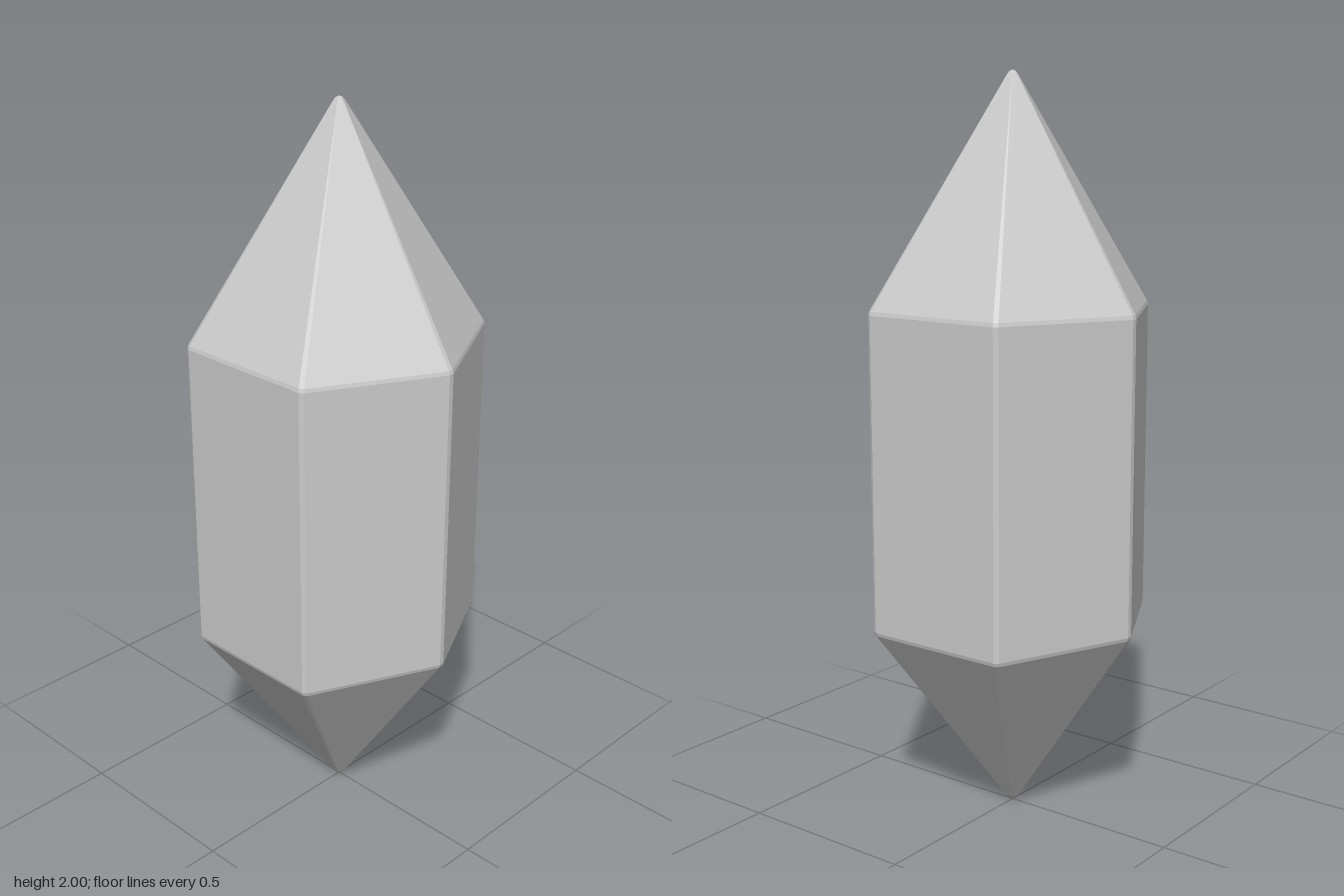
import * as THREE from 'three';

// Hexagonal cross-section corners (x, z), slightly longer along z
const HEX = [[0, 0.386], [0.34, 0.207], [0.34, -0.207], [0, -0.386], [-0.34, -0.207], [-0.34, 0.207]]
  .map(([x, z]) => new THREE.Vector2(x, z));

// Each corner is clipped into two points so the long edges get a fine bevel
const SECTION = HEX.flatMap((p, i) => [
  p.clone().lerp(HEX[(i + 5) % 6], 0.02),
  p.clone().lerp(HEX[(i + 1) % 6], 0.02),
]);

// Faceted shell through rings of [height, scale, lift of the front and back corners]
function facetedShell(name, rings, material) {
  const n = SECTION.length;
  const positions = [];
  const index = [];
  for (const [y, s, lift = 0] of rings) {
    for (const p of SECTION) {
      const t = Math.max(0, (Math.abs(p.y) - 0.207) / 0.179);
      positions.push(p.x * s, y + lift * t, p.y * s);
    }
  }
  for (let r = 0; r < rings.length - 1; r++) {
    for (let i = 0; i < n; i++) {
      const a = r * n + i;
      const b = r * n + (i + 1) % n;
      index.push(a, b, b + n, a, b + n, a + n);
    }
  }
  const indexed = new THREE.BufferGeometry();
  indexed.setAttribute('position', new THREE.Float32BufferAttribute(positions, 3));
  indexed.setIndex(index);
  const geometry = indexed.toNonIndexed();
  geometry.computeVertexNormals();
  const mesh = new THREE.Mesh(geometry, material);
  mesh.name = name;
  return mesh;
}

export function createModel() {
  const material = new THREE.MeshStandardMaterial({
    color: 0xcccccc, flatShading: true, side: THREE.DoubleSide,
  });
  const crystal = new THREE.Group();
  crystal.name = 'crystal';
  crystal.add(
    // Short lower point with a blunted tip
    facetedShell('lowerPoint', [[0, 0], [0.004, 0.025], [0.016, 0.05], [0.53, 0.992, 0.015]], material),
    // Straight shaft with thin bevels where it meets the points
    facetedShell('shaft', [[0.53, 0.992, 0.015], [0.54, 1, 0.015], [1.385, 1], [1.395, 0.992]], material),
    // Taller upper point with a blunted tip
    facetedShell('upperPoint', [[1.395, 0.992], [1.982, 0.05], [1.996, 0.025], [2, 0]], material),
  );
  return crystal;
}
